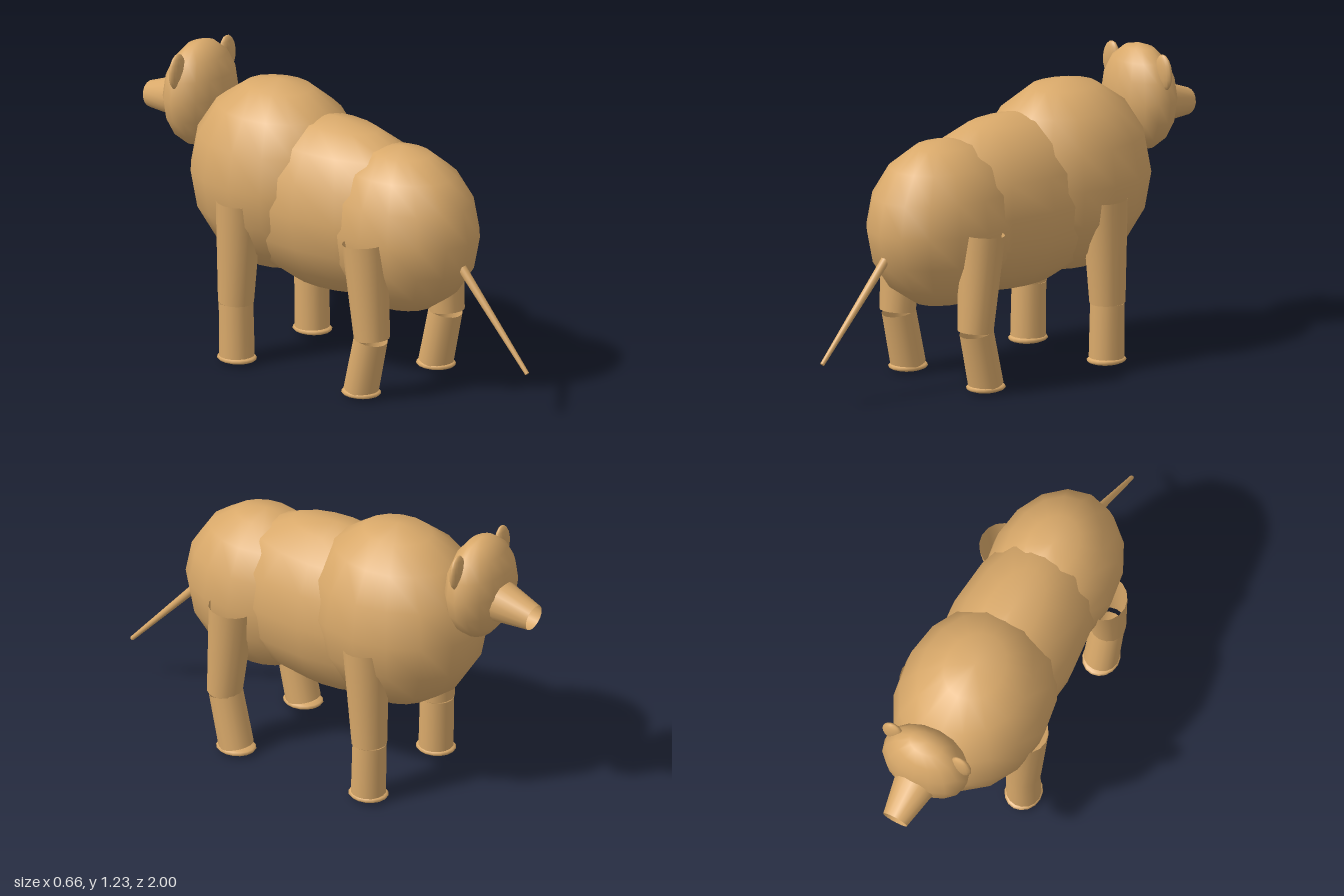
import * as THREE from 'three';

const fur = new THREE.MeshStandardMaterial({ color: 0xd9a96a, side: THREE.DoubleSide });
fur.name = 'tan fur';

// Ellipsoid with a vertical pole axis
function ellipsoid(name, centre, radii, tilt = 0) {
  const mesh = new THREE.Mesh(new THREE.SphereGeometry(1, 16, 8), fur);
  mesh.name = name;
  mesh.position.set(...centre);
  mesh.scale.set(...radii);
  mesh.rotation.z = tilt;
  return mesh;
}

// Tapered tube running from point a (radius ra) to point b (radius rb)
function limb(name, a, b, ra, rb, open = true) {
  const start = new THREE.Vector3(...a);
  const end = new THREE.Vector3(...b);
  const axis = end.clone().sub(start);
  const mesh = new THREE.Mesh(new THREE.CylinderGeometry(rb, ra, axis.length(), 16, 1, open), fur);
  mesh.name = name;
  mesh.position.copy(start).add(end).multiplyScalar(0.5);
  mesh.quaternion.setFromUnitVectors(new THREE.Vector3(0, 1, 0), axis.normalize());
  return mesh;
}

// Upper leg, lower leg and flat foot
function leg(name, x, hip, kneeUpper, kneeLower, ankle) {
  const group = new THREE.Group();
  group.name = name;
  group.add(
    limb('upperLeg', [x, ...hip], [x, ...kneeUpper], 0.095, 0.073),
    limb('lowerLeg', [x, ...kneeLower], [x, ...ankle], 0.07, 0.072),
    ellipsoid('foot', [x, 0.02, ankle[1]], [0.076, 0.02, 0.085])
  );
  return group;
}

export function createModel() {
  const model = new THREE.Group();
  model.name = 'bear';

  // Body: three overlapping masses
  model.add(
    ellipsoid('rump', [0, 0.665, 0.33], [0.27, 0.347, 0.352]),
    ellipsoid('belly', [0, 0.695, -0.02], [0.28, 0.365, 0.55]),
    ellipsoid('chest', [0, 0.755, -0.32], [0.318, 0.398, 0.39])
  );

  // Head and snout
  model.add(
    ellipsoid('head', [0, 1.003, -0.733], [0.19, 0.222, 0.123]),
    limb('snout', [0, 0.962, -0.82], [0, 0.935, -0.992], 0.09, 0.055)
  );

  // Ears and legs, mirrored
  for (const side of [1, -1]) {
    const label = side > 0 ? 'right' : 'left';
    model.add(
      ellipsoid(label + 'Ear', [side * 0.157, 1.13, -0.725], [0.046, 0.075, 0.02], side * 0.1),
      leg(label + 'FrontLeg', side * 0.235, [0.69, -0.33], [0.257, -0.347], [0.255, -0.347], [0.03, -0.342]),
      leg(label + 'HindLeg', side * 0.233, [0.66, 0.335], [0.26, 0.37], [0.257, 0.364], [0.03, 0.313])
    );
  }

  // Tail
  model.add(limb('tail', [0, 0.57, 0.64], [0, 0.186, 0.993], 0.019, 0.009, false));

  return model;
}
